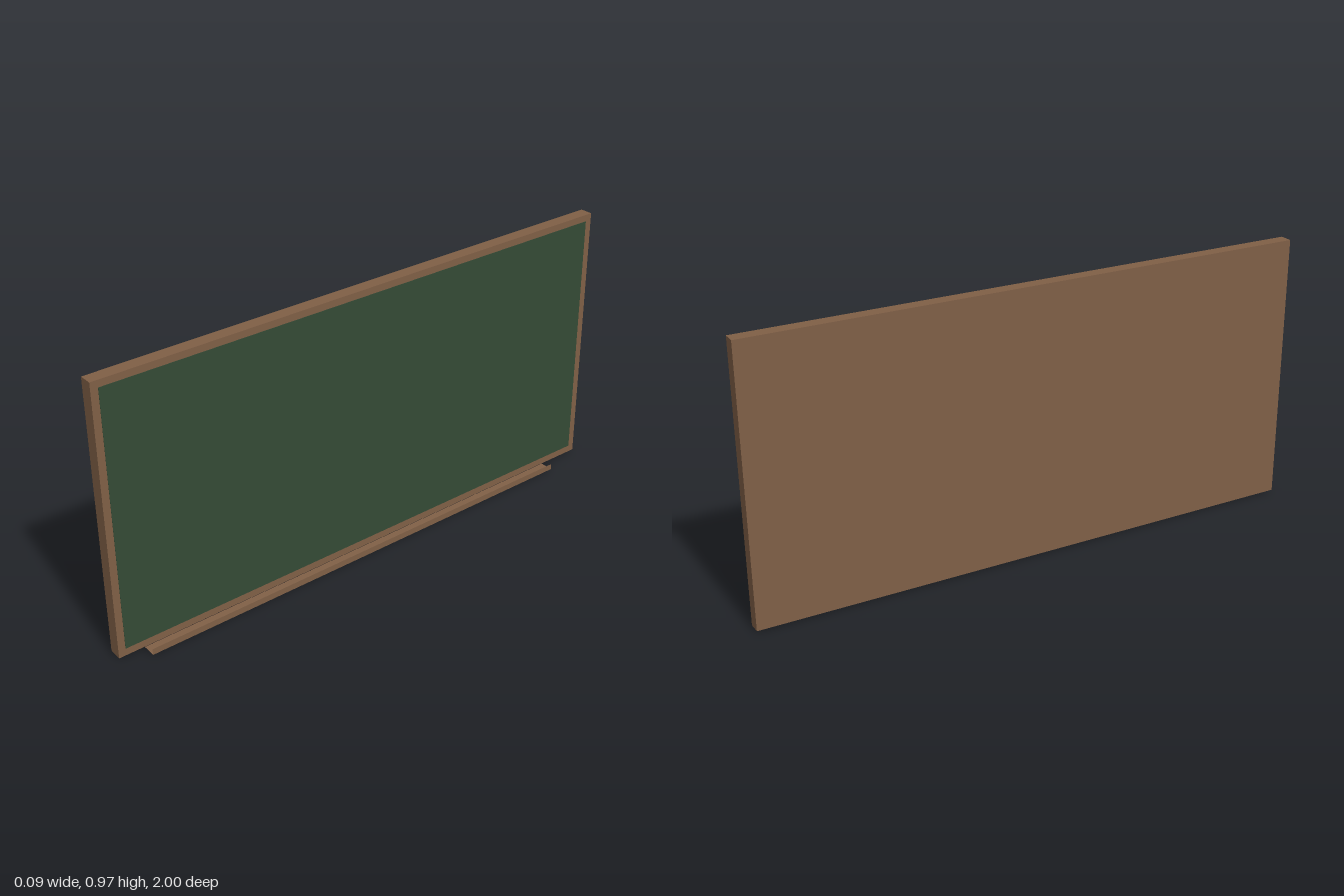
import * as THREE from 'three';

const wood = new THREE.MeshStandardMaterial({ color: 0x7f5f46, side: THREE.DoubleSide });
wood.name = 'brown wood';
const slate = new THREE.MeshStandardMaterial({ color: 0x344a35 });
slate.name = 'green slate';

// Extrudes an (x, y) outline along z between two ends
function extrudeZ(points, z0, z1) {
  const shape = new THREE.Shape(points.map(([x, y]) => new THREE.Vector2(x, y)));
  const geo = new THREE.ExtrudeGeometry(shape, { depth: z1 - z0, bevelEnabled: false });
  return geo.translate(0, 0, z0);
}

// Open sheet swept along z through an (x, y) polyline, one flat panel per segment
function sheet(points, z0, z1, name) {
  const group = new THREE.Group();
  group.name = name;
  for (let i = 0; i < points.length - 1; i++) {
    const [ax, ay] = points[i];
    const [bx, by] = points[i + 1];
    const geo = new THREE.PlaneGeometry(Math.hypot(bx - ax, by - ay), z1 - z0);
    geo.rotateX(-Math.PI / 2);
    geo.rotateZ(Math.atan2(by - ay, bx - ax));
    geo.translate((ax + bx) / 2, (ay + by) / 2, (z0 + z1) / 2);
    const panel = new THREE.Mesh(geo, wood);
    panel.name = i === 0 ? 'trayFloor' : 'trayLip';
    group.add(panel);
  }
  return group;
}

export function createModel() {
  const model = new THREE.Group();
  model.name = 'chalkboard';

  // Wooden backing and frame, with a slightly sloped underside
  const frame = new THREE.Mesh(
    extrudeZ([[-0.047, 0.006], [-0.001, 0.003], [-0.001, 0.967], [-0.047, 0.967]], -1, 1), wood);
  frame.name = 'frame';
  model.add(frame);

  // Writing surface facing +x
  const surface = new THREE.Mesh(new THREE.BoxGeometry(0.002, 0.914, 1.95), slate);
  surface.position.set(-0.001, 0.486, 0);
  surface.name = 'writingSurface';
  model.add(surface);

  // Thin chalk tray along the lower edge, open at both ends
  model.add(sheet([[-0.001, 0.002], [0.047, 0], [0.047, 0.022]], -0.835, 0.908, 'chalkTray'));

  return model;
}
